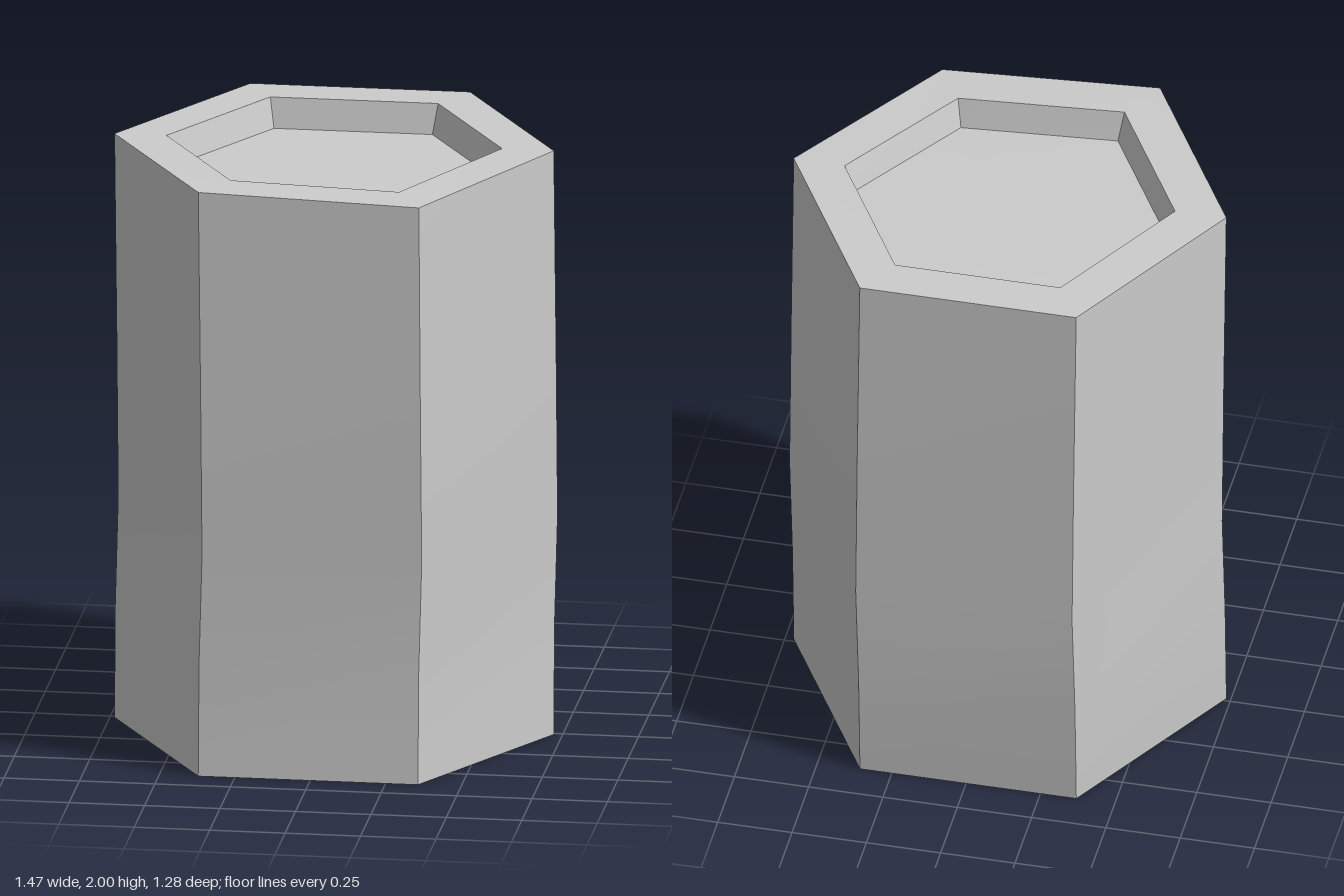
import * as THREE from 'three';
import { toCreasedNormals } from 'three/addons/utils/BufferGeometryUtils.js';

const SIDES = 6;
const SUNK_CORNER = 5; // front left corner, worn down at the top

// Cross-sections from the bottom recess, up the outside, to the top recess:
// radius, height, centre x, centre z, drop and z shift of the worn corner
const rings = [
  [0, 0.1, -0.007, 0.008, 0, 0],
  [0.525, 0.1, -0.007, 0.008, 0, 0],
  [0.556, 0, -0.007, 0.01, 0, 0],
  [0.728, 0, -0.007, 0.012, 0, 0],
  [0.728, 0.38, -0.007, -0.008, 0, 0],
  [0.728, 0.75, 0.003, -0.007, 0, 0],
  [0.728, 1.3, -0.001, -0.002, 0, 0],
  [0.728, 2, -0.007, 0.01, 0.03, -0.022],
  [0.556, 2, -0.007, 0.007, 0.023, -0.018],
  [0.525, 1.9, -0.007, 0.004, 0.023, -0.014],
  [0, 1.9, -0.007, 0.004, 0, 0],
];

function loftRings() {
  const positions = [];
  const index = [];
  for (const [r, y, cx, cz, drop, shift] of rings) {
    for (let k = 0; k < SIDES; k++) {
      const a = (k / SIDES) * Math.PI * 2;
      const worn = k === SUNK_CORNER ? 1 : 0;
      positions.push(cx + r * Math.cos(a), y - drop * worn, cz - r * Math.sin(a) + shift * worn);
    }
  }
  for (let i = 0; i < rings.length - 1; i++) {
    for (let k = 0; k < SIDES; k++) {
      const n = (k + 1) % SIDES;
      const a = i * SIDES + k, b = i * SIDES + n;
      const c = a + SIDES, d = b + SIDES;
      // The recess floors are fans, so skip their empty triangles
      if (rings[i][0] > 0) index.push(a, b, d);
      if (rings[i + 1][0] > 0) index.push(a, d, c);
    }
  }
  const geometry = new THREE.BufferGeometry();
  geometry.setAttribute('position', new THREE.Float32BufferAttribute(positions, 3));
  geometry.setIndex(index);
  return toCreasedNormals(geometry.toNonIndexed(), 0.4);
}

export function createModel() {
  const group = new THREE.Group();
  group.name = 'hexagonalColumn';
  // Slightly bent hexagonal column with a shallow recess at both ends
  const column = new THREE.Mesh(loftRings(), new THREE.MeshStandardMaterial({ color: 0xcccccc }));
  column.name = 'column';
  group.add(column);
  return group;
}
